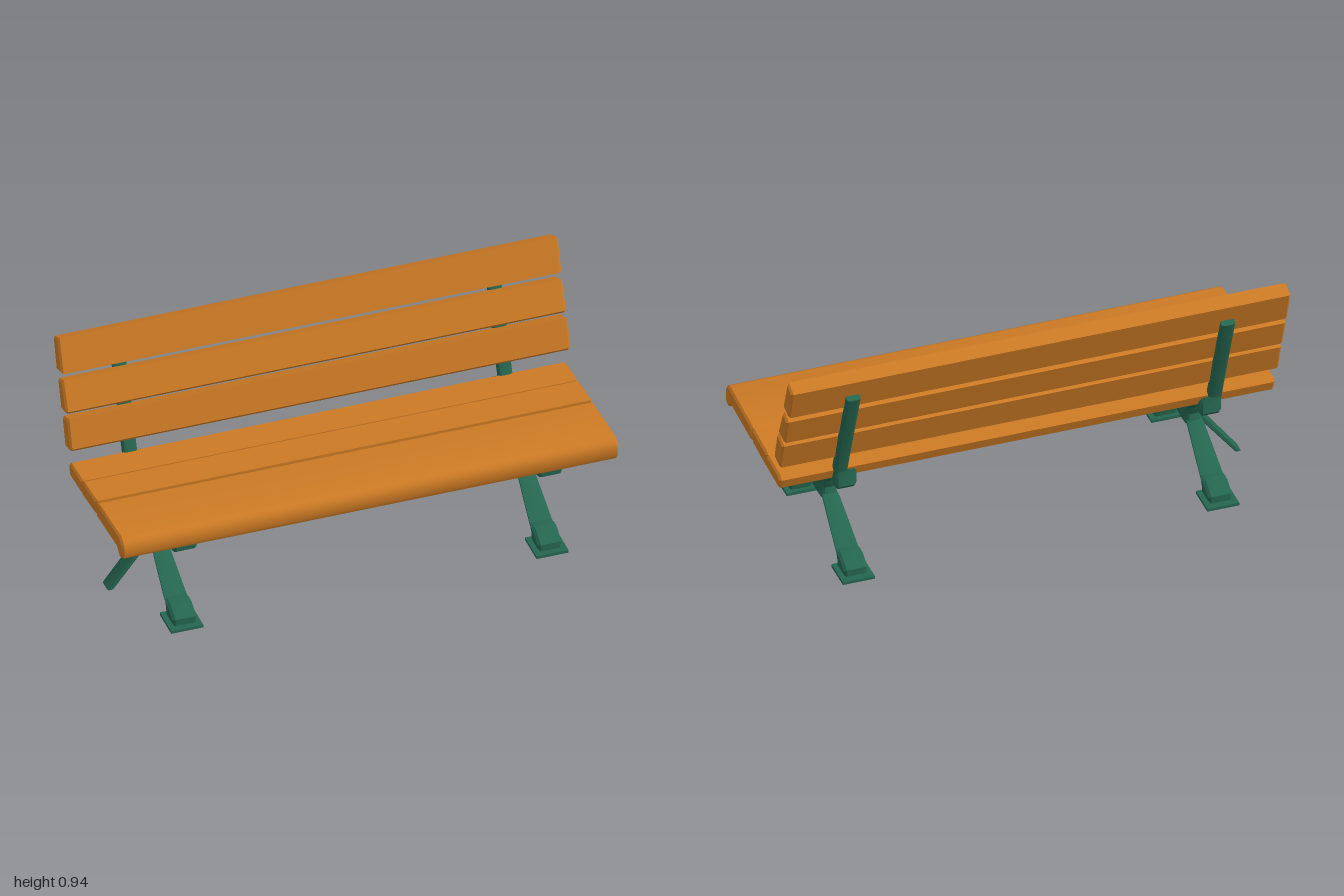
import * as THREE from 'three';
import { toCreasedNormals } from 'three/addons/utils/BufferGeometryUtils.js';

const CREASE = 0.6;

// Prism along x from a side profile of [z, y] points, with chamfered ends.
function prism(profile, width, bevel) {
  const shape = new THREE.Shape(profile.map(([z, y]) => new THREE.Vector2(-z, y)));
  const geo = new THREE.ExtrudeGeometry(shape, {
    depth: width - 2 * bevel, bevelThickness: bevel, bevelSize: bevel,
    bevelOffset: -bevel, bevelSegments: 1,
  });
  geo.translate(0, 0, -(width - 2 * bevel) / 2);
  geo.rotateY(Math.PI / 2);
  return toCreasedNormals(geo, CREASE);
}

// Strap lofted through rounded sections [u1, v1, u2, v2, halfWidth]; width runs along z.
function strap(sections) {
  const N = 16;
  const soft = (t) => Math.sign(t) * Math.sqrt(Math.abs(t));
  const pos = [], idx = [];
  for (const [u1, v1, u2, v2, hw] of sections) {
    const mu = (u1 + u2) / 2, mv = (v1 + v2) / 2;
    for (let i = 0; i < N; i++) {
      const a = (i / N) * Math.PI * 2, c = soft(Math.cos(a)), s = soft(Math.sin(a));
      pos.push(mu + ((u2 - u1) / 2) * c, mv + ((v2 - v1) / 2) * c, hw * s);
    }
    pos.push(mu, mv, 0);
  }
  const R = N + 1, last = (sections.length - 1) * R;
  for (let j = 0; j < N; j++) {
    const k = (j + 1) % N;
    for (let r = 0; r < last; r += R) {
      idx.push(r + j, r + k, r + R + k, r + j, r + R + k, r + R + j);
    }
    idx.push(N, k, j, last + N, last + j, last + k);
  }
  // Keep faces outward whichever way the sections travel.
  const a = sections[0], b = sections[sections.length - 1];
  const du = b[0] + b[2] - a[0] - a[2], dv = b[1] + b[3] - a[1] - a[3];
  if ((a[3] - a[1]) * du - (a[2] - a[0]) * dv < 0) idx.reverse();
  const geo = new THREE.BufferGeometry();
  geo.setAttribute('position', new THREE.Float32BufferAttribute(pos, 3));
  geo.setIndex(idx);
  return toCreasedNormals(geo, CREASE);
}

// Strap in the side plane, with sections [z1, y1, z2, y2, halfWidth].
const sideStrap = (sections) =>
  strap(sections.map(([z1, y1, z2, y2, w]) => [-z1, y1, -z2, y2, w])).rotateY(Math.PI / 2);

export function createModel() {
  const wood = new THREE.MeshStandardMaterial({ color: 0xcc7a24 });
  wood.name = 'wood';
  const iron = new THREE.MeshStandardMaterial({ color: 0x256650 });
  iron.name = 'greenIron';

  const bench = new THREE.Group();
  bench.name = 'bench';
  const add = (parent, name, geo, mat, x = 0) => {
    const mesh = new THREE.Mesh(geo, mat);
    mesh.name = name;
    mesh.position.x = x;
    parent.add(mesh);
    return mesh;
  };

  // Seat and backrest planks
  const planks = {
    seatPlankFront: [[0.388, 0.452], [0.38, 0.469], [0.368, 0.481], [0.353, 0.487], [0.1, 0.467],
      [0.092, 0.46], [0.09, 0.41], [0.098, 0.403], [0.325, 0.418], [0.358, 0.391], [0.38, 0.4], [0.388, 0.418]],
    seatPlankMiddle: [[0.084, 0.467], [-0.066, 0.454], [-0.075, 0.446], [-0.073, 0.39], [0.084, 0.405]],
    seatPlankBack: [[-0.077, 0.45], [-0.213, 0.442], [-0.228, 0.427], [-0.213, 0.385], [-0.075, 0.392]],
    backPlankLower: [[-0.217, 0.643], [-0.28, 0.618], [-0.245, 0.5], [-0.191, 0.513], [-0.183, 0.525]],
    backPlankMiddle: [[-0.28, 0.78], [-0.33, 0.76], [-0.293, 0.643], [-0.238, 0.655], [-0.23, 0.667]],
    backPlankUpper: [[-0.33, 0.944], [-0.383, 0.92], [-0.345, 0.79], [-0.283, 0.808]],
  };
  for (const [name, profile] of Object.entries(planks)) {
    const seat = name.startsWith('seat');
    add(bench, name, prism(profile, seat ? 1.985 : 2, 0.008), wood);
  }

  // Iron frame, one under each end
  const footProfile = [[0.355, 0.015], [0.355, 0.045], [0.3, 0.08], [0.25, 0.08], [0.265, 0.05], [0.268, 0.015]];
  for (const side of [1, -1]) {
    const frame = new THREE.Group();
    frame.name = side > 0 ? 'leftFrame' : 'rightFrame';
    frame.position.x = side * 0.73;
    bench.add(frame);

    // Feet and lower legs, front and back
    for (const end of [1, -1]) {
      const label = end > 0 ? 'front' : 'back';
      const plate = add(frame, label + 'FootPlate', new THREE.BoxGeometry(0.128, 0.012, 0.13), iron);
      plate.position.set(0, 0.011, end * 0.315);
      const shift = end > 0 ? 0 : 0.005;
      add(frame, label + 'Foot', prism(footProfile.map(([z, y]) => [end * (z - shift), y]), 0.095, 0.01), iron);
      add(frame, label + 'Leg', sideStrap([
        [0.268, 0.055, 0.262, 0.079, 0.046], [0.245, 0.069, 0.24, 0.081, 0.045],
        [0.16, 0.122, 0.155, 0.139, 0.04], [0.075, 0.175, 0.07, 0.198, 0.034],
        [0.03, 0.185, 0.03, 0.215, 0.028],
      ].map(([z1, y1, z2, y2, w]) => [end * z1, y1, end * z2, y2, w])), iron);
    }

    // Waisted hub joining the legs and arms
    add(frame, 'hub', sideStrap([
      [0.062, 0.178, -0.055, 0.18, 0.03], [0.078, 0.19, -0.063, 0.194, 0.036],
      [0.068, 0.232, -0.052, 0.228, 0.03], [0.083, 0.275, -0.075, 0.277, 0.036],
      [0.05, 0.288, -0.075, 0.3, 0.036], [0.03, 0.32, -0.06, 0.32, 0.03],
    ]), iron);

    // Upper arms rising to the seat
    add(frame, 'frontArm', sideStrap([
      [0.04, 0.268, 0.04, 0.292, 0.034], [0.085, 0.272, 0.078, 0.288, 0.036],
      [0.16, 0.311, 0.155, 0.33, 0.04], [0.235, 0.349, 0.23, 0.372, 0.044],
      [0.265, 0.353, 0.262, 0.4, 0.045],
    ]), iron);
    add(frame, 'backArm', sideStrap([
      [0, 0.25, 0.01, 0.292, 0.034], [-0.075, 0.272, -0.06, 0.305, 0.036],
      [-0.13, 0.322, -0.105, 0.338, 0.038], [-0.165, 0.342, -0.145, 0.38, 0.04],
      [-0.225, 0.348, -0.225, 0.392, 0.042],
    ]), iron);
    add(frame, 'seatBeam', prism([[0.34, 0.413], [0.09, 0.404], [-0.21, 0.387], [-0.22, 0.355],
      [-0.06, 0.313], [0.02, 0.313], [0.2, 0.338], [0.345, 0.356], [0.36, 0.38]], 0.056, 0.008), iron);
    add(frame, 'frontPad', prism([[0.364, 0.387], [0.34, 0.416], [0.255, 0.41], [0.236, 0.375],
      [0.25, 0.353], [0.34, 0.353], [0.362, 0.368]], 0.095, 0.01), iron);
    add(frame, 'backPad', prism([[-0.14, 0.383], [-0.2, 0.388], [-0.236, 0.425], [-0.243, 0.355],
      [-0.234, 0.342], [-0.15, 0.356]], 0.085, 0.01), iron);

    // Leaning backrest post
    add(frame, 'backPost', sideStrap([
      [-0.185, 0.385, -0.225, 0.375, 0.028], [-0.202, 0.43, -0.238, 0.422, 0.028],
      [-0.279, 0.64, -0.311, 0.63, 0.028], [-0.36, 0.852, -0.387, 0.842, 0.028],
    ]), iron, side * 0.02);
  }

  // Outer brace on one end: a prop to the ground and a curved arm under the seat
  add(bench, 'braceLeg', strap([
    [-0.735, 0.215, -0.755, 0.235, 0.034], [-0.758, 0.182, -0.775, 0.2, 0.034],
    [-0.898, 0.004, -0.926, 0, 0.034],
  ]), iron);
  add(bench, 'braceArm', strap([
    [-0.73, 0.22, -0.765, 0.225, 0.034], [-0.75, 0.275, -0.775, 0.285, 0.034],
    [-0.772, 0.33, -0.796, 0.342, 0.034], [-0.805, 0.366, -0.82, 0.382, 0.034],
    [-0.855, 0.382, -0.872, 0.394, 0.034],
  ]), iron);

  return bench;
}
